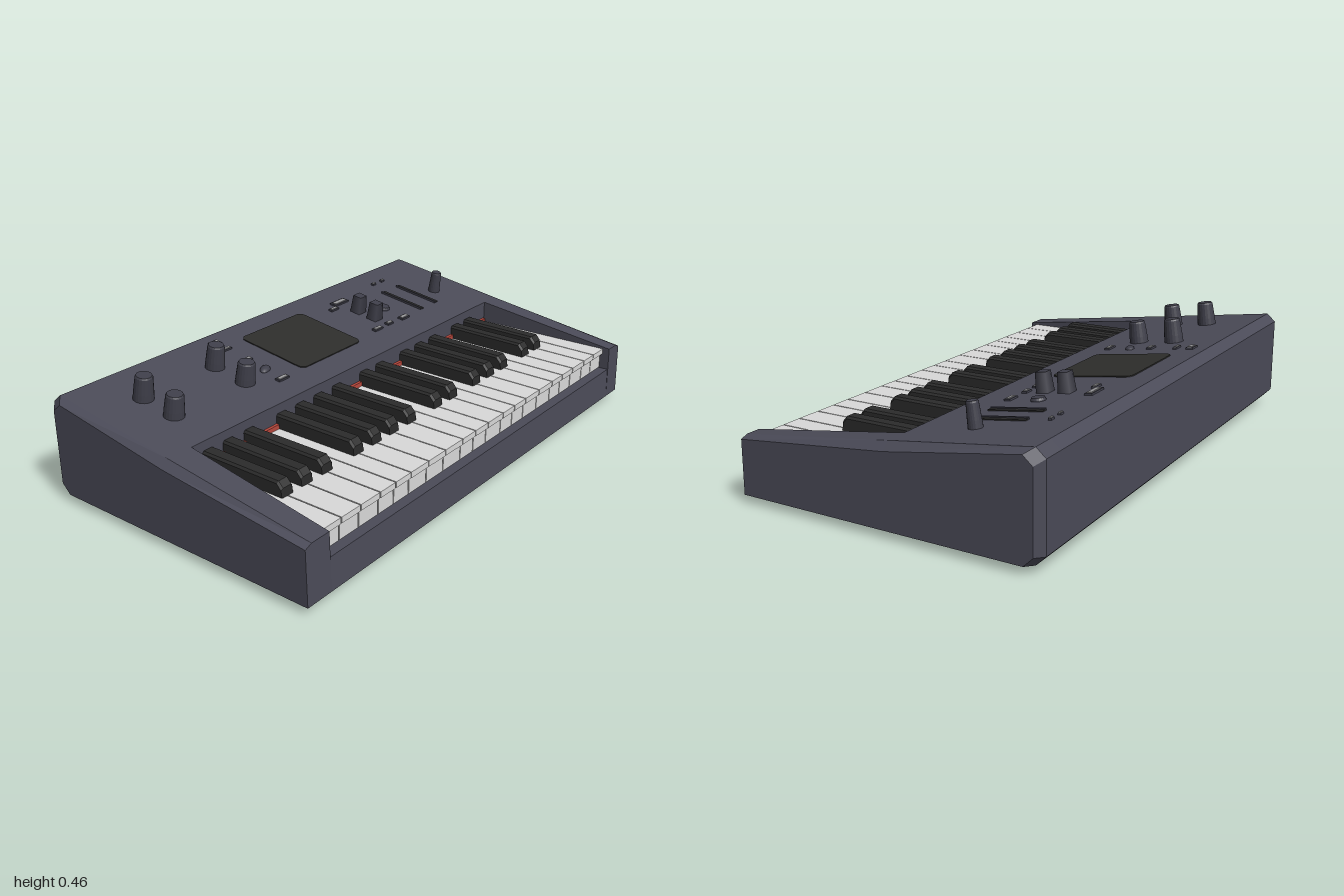
import * as THREE from 'three';

const mat = (name, color, side = THREE.FrontSide) =>
  Object.assign(new THREE.MeshStandardMaterial({ color, side }), { name });

const SLOPE = 0.14;
const panelY = x => 0.395 - SLOPE * (x + 0.545);

// Skin a row of equal-length [x, y, z] outlines (counterclockwise, advancing in +z) with closed ends
function loft(sections) {
  const pos = [];
  const tri = (a, b, c) => pos.push(...a, ...b, ...c);
  const n = sections[0].length;
  for (let k = 0; k < sections.length - 1; k++) {
    const s = sections[k], t = sections[k + 1];
    for (let i = 0; i < n; i++) {
      const j = (i + 1) % n;
      tri(s[i], s[j], t[j]);
      tri(s[i], t[j], t[i]);
    }
  }
  const first = sections[0], last = sections[sections.length - 1];
  for (let i = 1; i < n - 1; i++) {
    tri(first[0], first[i + 1], first[i]);
    tri(last[0], last[i], last[i + 1]);
  }
  const g = new THREE.BufferGeometry();
  g.setAttribute('position', new THREE.Float32BufferAttribute(pos, 3));
  g.computeVertexNormals();
  return g;
}

export function createModel() {
  const root = new THREE.Group();
  root.name = 'keyboardSynthesizer';
  const body = mat('slateBody', 0x4b4b58);
  const white = mat('whiteKey', 0xdadada);
  const black = mat('blackKey', 0x2b2b2b);
  const screenMat = mat('screenGlass', 0x2e2e2c);
  const grey = mat('greyLabel', 0x9a9a9c);
  const red = mat('redFelt', 0xb8473c);
  const knobMat = mat('knob', 0x3f3f4a);

  const add = (name, geo, material, x = 0, y = 0, z = 0, parent = root) => {
    const m = new THREE.Mesh(geo, material);
    m.name = name;
    m.position.set(x, y, z);
    parent.add(m);
    return m;
  };

  // Case: wedge profile, chamfered at the ends, with a key well cut between the cheeks
  const outline = (floor, inset = 0) => {
    const wall = panelY(-0.02) - inset;
    return [
      [-0.545 + inset, 0.03], [0.578, 0.03], [0.573, floor ?? 0.24 - inset * 0.4],
      [-0.02, floor ?? wall], [-0.02, wall],
      [-0.545 + inset, 0.395 - inset * 0.7], [-0.58 + inset, 0.365 - inset * 0.7], [-0.58 + inset, 0.065],
    ];
  };
  const at = (points, zf) => points.map(([x, y]) => [x, y, zf(x)]);
  const well = (zBack, zFront) => x => (x > 0 ? zFront : zBack);
  const right = well(-0.89, -0.915), left = well(0.87, 0.89);
  add('case', loft([
    at(outline(undefined, 0.028), () => -1),
    at(outline(), () => -0.972),
    at(outline(), right),
    at(outline(0.15), right),
    at(outline(0.15), left),
    at(outline(), left),
    at(outline(), () => 0.972),
    at(outline(undefined, 0.028), () => 1),
  ]), body);

  // Feet
  for (const x of [-0.463, 0.463]) for (const z of [-0.865, 0.865]) {
    add('foot', new THREE.CylinderGeometry(0.043, 0.034, 0.034, 20), knobMat, x, 0.017, z);
  }

  // White keys, with edges under the black keys and at the natural half steps
  const blackZ = [-0.75, -0.655, -0.49, -0.39, -0.29, -0.13, -0.03, 0.135, 0.24, 0.34, 0.44, 0.605, 0.705, 0.8];
  const edges = [...blackZ, -0.915, -0.83, -0.57, -0.21, 0.053, 0.523, 0.887].sort((a, b) => a - b);
  const keys = new THREE.Group();
  keys.name = 'keys';
  root.add(keys);
  for (let i = 0; i < edges.length - 1; i++) {
    const w = edges[i + 1] - edges[i] - 0.004, z = (edges[i] + edges[i + 1]) / 2;
    add('whiteKey', new THREE.BoxGeometry(0.565, 0.022, w), white, 0.2625, 0.224, z, keys);
    add('whiteKeyFront', new THREE.BoxGeometry(0.555, 0.062, w), white, 0.2575, 0.182, z, keys);
  }

  // Black keys, narrower along the top with a sloped nose
  const side = (top, nose) => [[-0.019, 0.22], [0.33, 0.22], [nose, top - 0.02], [nose - 0.018, top], [-0.019, top]];
  const blackGeo = loft([
    at(side(0.28, 0.325), () => -0.026),
    at(side(0.288, 0.328), () => -0.019),
    at(side(0.288, 0.328), () => 0.019),
    at(side(0.28, 0.325), () => 0.026),
  ]);
  for (const z of blackZ) add('blackKey', blackGeo, black, 0, 0, z, keys);

  // Felt strip behind the keys
  add('feltStrip', new THREE.BoxGeometry(0.012, 0.018, 1.74), red, -0.013, 0.243, -0.01);

  // Controls stand on the sloping panel
  const control = (name, geo, material, x, z, lift) => {
    const holder = new THREE.Group();
    holder.name = name;
    holder.position.set(x, panelY(x), z);
    holder.rotation.z = -Math.atan(SLOPE);
    root.add(holder);
    return add(name + 'Part', geo, material, 0, lift, 0, holder);
  };

  // Screen with rounded corners
  const w = 0.16, h = 0.176, r = 0.025;
  const s = new THREE.Shape();
  s.absarc(w - r, h - r, r, 0, Math.PI / 2);
  s.absarc(-w + r, h - r, r, Math.PI / 2, Math.PI);
  s.absarc(-w + r, -h + r, r, Math.PI, Math.PI * 1.5);
  s.absarc(w - r, -h + r, r, Math.PI * 1.5, Math.PI * 2);
  const screenGeo = new THREE.ExtrudeGeometry(s, { depth: 0.008, bevelEnabled: false }).rotateX(-Math.PI / 2);
  control('screen', screenGeo, screenMat, -0.292, 0.014, -0.004);

  // Rotary knobs: x, z, radius, height
  const knobs = [
    [-0.353, 0.427, 0.038, 0.092], [-0.202, 0.427, 0.038, 0.085],
    [-0.35, 0.775, 0.038, 0.092], [-0.2, 0.775, 0.038, 0.085],
    [-0.235, -0.81, 0.025, 0.088], [-0.265, -0.48, 0.028, 0.012],
  ];
  for (const [x, z, rad, height] of knobs) {
    const profile = [[0, -0.01], [rad, -0.01], [rad * 0.95, height * 0.3], [rad * 0.83, height * 0.93], [rad * 0.74, height], [0, height]];
    const geo = new THREE.LatheGeometry(profile.map(p => new THREE.Vector2(...p)), 20).toNonIndexed();
    geo.computeVertexNormals();
    control('knob', geo, knobMat, x, z, 0);
  }

  // Square push buttons
  for (const x of [-0.313, -0.228]) {
    control('pushButton', new THREE.CylinderGeometry(0.028, 0.034, 0.08, 4, 1).rotateY(Math.PI / 4), knobMat, x, -0.37, 0.033);
  }

  // Slider slots with raised edges
  for (const z of [-0.715, -0.61]) {
    control('sliderSlot', new THREE.BoxGeometry(0.21, 0.008, 0.022), black, -0.26, z, 0);
    control('sliderRail', new THREE.BoxGeometry(0.21, 0.012, 0.006), knobMat, -0.26, z + 0.01, 0.002);
  }

  // Small switches: x, z, width, length
  const switches = [
    [-0.415, -0.37, 0.03, 0.085], [-0.387, -0.3, 0.018, 0.045], [-0.155, -0.475, 0.025, 0.05],
    [-0.16, -0.38, 0.02, 0.035], [-0.158, -0.3, 0.02, 0.05], [-0.44, -0.7, 0.012, 0.02], [-0.44, -0.64, 0.012, 0.02],
    [-0.48, 0.3, 0.03, 0.045], [-0.42, 0.3, 0.015, 0.045], [-0.312, 0.302, 0.022, 0.045], [-0.133, 0.305, 0.022, 0.055],
  ];
  for (const [x, z, sw, sl] of switches) {
    control('switch', new THREE.BoxGeometry(sw, 0.012, sl), knobMat, x, z, 0.001);
    control('switchCap', new THREE.BoxGeometry(sw * 0.6, 0.006, sl * 0.8), grey, x, z, 0.007);
  }
  const rocker = control('rocker', new THREE.SphereGeometry(0.03, 16, 10), knobMat, -0.222, 0.3, 0);
  rocker.scale.set(0.6, 0.4, 1);
  rocker.rotation.y = 0.4;

  return root;
}
